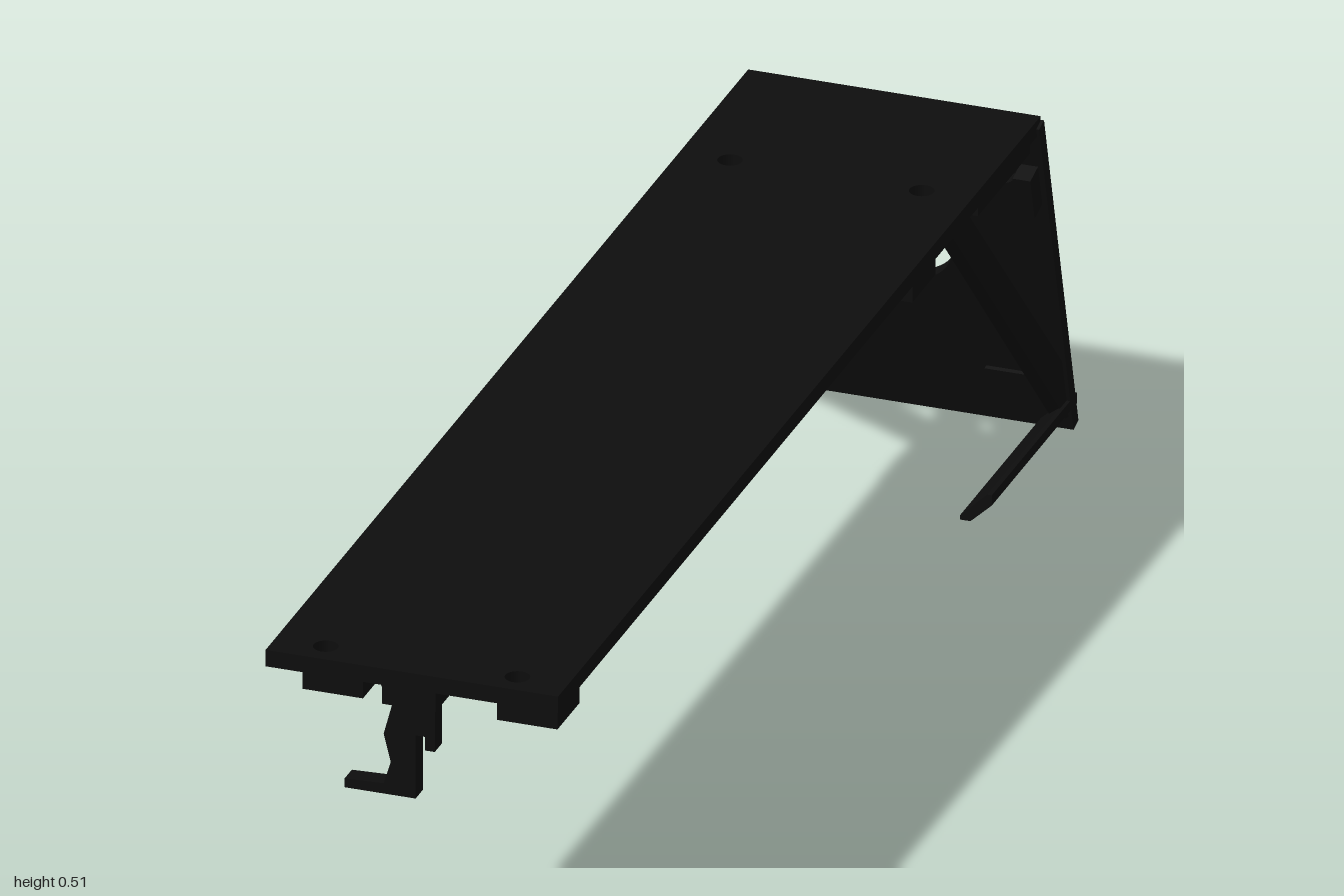
import * as THREE from 'three';

export function createModel() {
  const group = new THREE.Group();
  const black = new THREE.MeshStandardMaterial({ color: 0x0d0d0d });
  black.name = 'matte black';

  function add(name, geometry, x = 0, y = 0, z = 0) {
    const mesh = new THREE.Mesh(geometry, black);
    mesh.name = name;
    mesh.position.set(x, y, z);
    group.add(mesh);
    return mesh;
  }
  const box = (name, w, h, d, x, y, z) => add(name, new THREE.BoxGeometry(w, h, d), x, y, z);
  const polygon = (points) => new THREE.Shape(points.map(([x, y]) => new THREE.Vector2(x, y)));
  const extrude = (shape, depth) =>
    new THREE.ExtrudeGeometry(shape, { depth, bevelEnabled: false, curveSegments: 20 });

  // Rectangle spanning y0..y1 with round holes given as [x, y, radius]
  function panel(halfWidth, y0, y1, holes, depth) {
    const shape = polygon([[-halfWidth, y0], [halfWidth, y0], [halfWidth, y1], [-halfWidth, y1]]);
    for (const [x, y, r] of holes) {
      shape.holes.push(new THREE.Path().absarc(x, y, r, 0, Math.PI * 2, true));
    }
    return extrude(shape, depth);
  }

  // Long top plate with four screw holes
  const topHoles = [];
  for (const x of [-0.135, 0.135]) for (const z of [-0.6, 0.962]) topHoles.push([x, -z, 0.017]);
  const top = panel(0.206, -1, 0.865, topHoles, 0.024);
  top.rotateX(-Math.PI / 2);
  add('topPlate', top, 0, 0.487, 0);

  // Leaning back plate with a large central opening
  const backHoles = [[0, 0.289, 0.066]];
  for (const x of [-0.148, 0.148]) for (const y of [0.141, 0.436]) backHoles.push([x, y, 0.02]);
  const back = add('backPlate', panel(0.21, 0, 0.52, backHoles, 0.02), 0, 0.002, -1);
  back.rotation.x = Math.atan2(0.135, 0.51);

  for (const s of [-1, 1]) {
    // Diagonal brace, drawn as [-z, y]
    const brace = extrude(polygon([
      [0.525, 0.489], [0.592, 0.489], [0.975, 0.085], [0.993, 0.012], [0.965, 0.02],
    ]), 0.022);
    brace.rotateY(Math.PI / 2);
    add('brace', brace, s * 0.194 - 0.011, 0, 0);

    // Slanted foot rail along the floor
    const rail = extrude(polygon([
      [s * 0.21, 0.045], [s * 0.21, 0.03], [s * 0.18, 0.002], [s * 0.165, 0.002], [s * 0.165, 0.008], [s * 0.203, 0.045],
    ]), 0.33);
    add('footRail', rail, 0, 0, -0.995);

    // Screw bosses under the top plate
    box('frontBoss', 0.085, 0.062, 0.085, s * 0.137, 0.457, 0.887);
    box('rearBoss', 0.085, 0.062, 0.09, s * 0.137, 0.457, -0.487);

    // Stiffener and edge clip near the back corner
    box('cornerStiffener', 0.03, 0.022, 0.2, s * 0.185, 0.477, -0.74);
    const clip = box('edgeClip', 0.025, 0.065, 0.04, s * 0.19, 0.402, -0.862);
    clip.rotation.x = back.rotation.x;
    const lip = box('lowerLip', 0.065, 0.02, 0.008, s * 0.128, 0.073, -0.958);
    lip.rotation.x = back.rotation.x;
  }

  // Latch hanging below the front edge
  add('latch', extrude(polygon([
    [-0.095, 0.327], [0.005, 0.327], [0.005, 0.42], [0.018, 0.42], [0.018, 0.4], [0.032, 0.4],
    [0.032, 0.488], [-0.045, 0.488], [-0.028, 0.46], [-0.04, 0.415], [-0.03, 0.375],
    [-0.04, 0.342], [-0.095, 0.34],
  ]), 0.028), 0, 0, 0.971);
  box('latchMount', 0.075, 0.03, 0.065, -0.005, 0.473, 0.965);

  return group;
}
